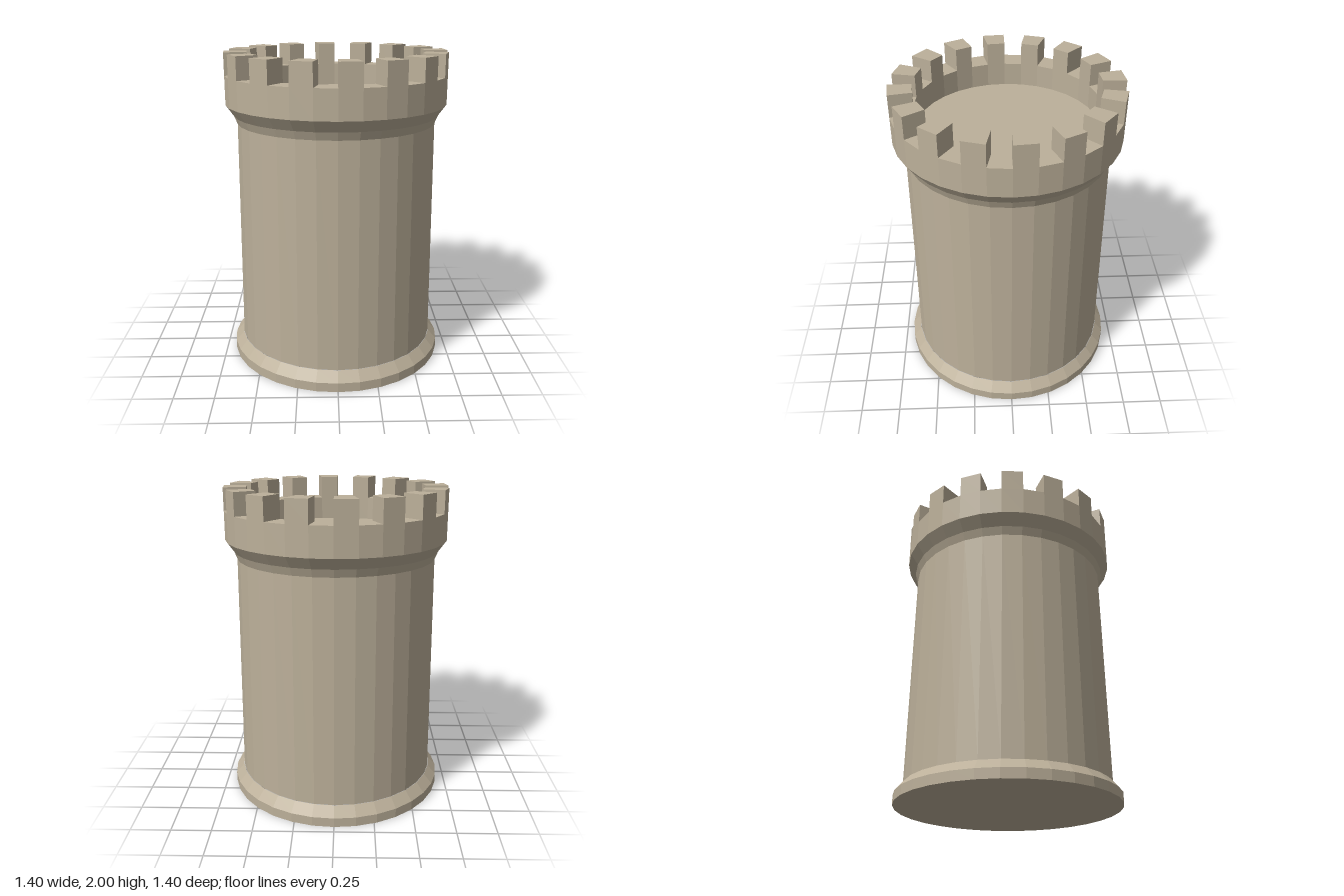
import * as THREE from 'three';

const SIDES = 32;
const OUTER = 0.698, INNER = 0.556;
const FLOOR_Y = 1.715, RIM_Y = 1.86, TOP_Y = 2;

export function createModel() {
  const stone = new THREE.MeshStandardMaterial({ color: 0xbcb09a, flatShading: true });
  stone.name = 'stone';

  const tower = new THREE.Group();
  tower.name = 'tower';

  const add = (name, geometry, parent = tower) => {
    const mesh = new THREE.Mesh(geometry, stone);
    mesh.name = name;
    parent.add(mesh);
    return mesh;
  };
  // Faceted ring or disc from [radius, height] pairs
  const turned = (name, profile) =>
    add(name, new THREE.LatheGeometry(profile.map(([r, y]) => new THREE.Vector2(r, y)), SIDES));

  // Foot with a bevelled upper edge and a closed underside
  turned('base', [[0, 0], [OUTER, 0], [OUTER, 0.06], [0.645, 0.12]]);

  // Slightly tapering wall
  turned('shaft', [[0.642, 0.12], [0.628, 1.56]]);

  // Flare carrying the overhanging parapet
  turned('corbel', [[0.628, 1.56], [0.648, 1.61], [OUTER, 1.68]]);

  // Parapet wall: outside, rim and inside
  turned('parapet', [[OUTER, 1.68], [OUTER, RIM_Y], [INNER, RIM_Y], [INNER, FLOOR_Y]]);

  // Sunken roof floor
  turned('roofFloor', [[INNER, FLOOR_Y], [0, FLOOR_Y]]);

  // One merlon fills every second facet of the rim
  const step = (Math.PI * 2) / SIDES;
  const corner = (r, a) => new THREE.Vector2(r * Math.sin(a), -r * Math.cos(a));
  const outline = new THREE.Shape([
    corner(INNER, 0), corner(OUTER, 0), corner(OUTER, step), corner(INNER, step),
  ]);
  const block = new THREE.ExtrudeGeometry(outline, { depth: TOP_Y - RIM_Y, bevelEnabled: false });
  block.rotateX(-Math.PI / 2);

  const battlements = new THREE.Group();
  battlements.name = 'battlements';
  tower.add(battlements);
  for (let i = 0; i < SIDES; i += 2) {
    const merlon = add('merlon', block, battlements);
    merlon.position.y = RIM_Y;
    merlon.rotation.y = i * step;
  }

  return tower;
}
